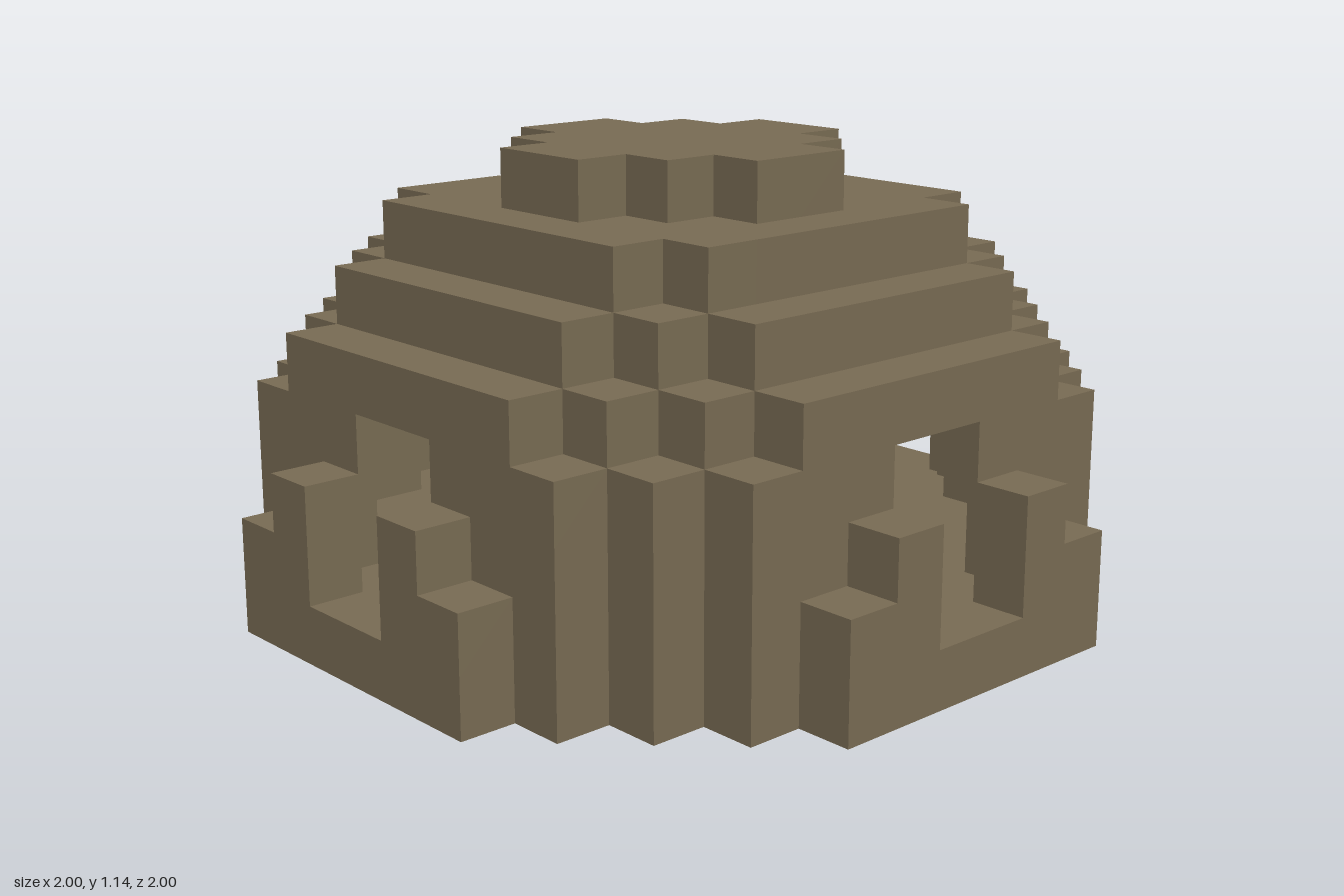
import * as THREE from 'three';

const N = 7;          // blocks per unit
const R = 7;          // outer radius in blocks
const CENTRE = 1;     // height of the sphere's centre in blocks

// Which part, if any, fills the block whose low corner is (i, j, k)
function partAt(i, j, k) {
  const x = i + 0.5, y = j + 0.5, z = k + 0.5;
  const d = x * x + (y - CENTRE) ** 2 + z * z;
  if (j < 0 || d > R * R) return null;
  // floor with a rectangular opening
  if (j === 0) return Math.abs(x) < 2 && z > -2 && z < 1 ? null : 'floor';
  // low benches beside the opening
  if (j === 1 && Math.abs(x) > 1 && Math.abs(x) < 2 && z > -3 && z < 0) return 'bench';
  // hollow inside
  if (d < (R - 1) ** 2) return null;
  // openings on all four sides
  if (j < 4 && (Math.abs(x) < 1 || Math.abs(z) < 1)) return null;
  return 'domeWall';
}

// Collect only the exposed faces of one part's blocks
function blockGeometry(part) {
  const pos = [], nor = [];
  for (let i = -R; i < R; i++) for (let j = 0; j <= R; j++) for (let k = -R; k < R; k++) {
    if (partAt(i, j, k) !== part) continue;
    for (let axis = 0; axis < 3; axis++) for (const s of [-1, 1]) {
      const n = [0, 0, 0];
      n[axis] = s;
      if (partAt(i + n[0], j + n[1], k + n[2])) continue;
      const u = (axis + 1) % 3, v = (axis + 2) % 3;
      const corner = (a, b) => {
        const p = [i, j, k];
        p[axis] += s > 0 ? 1 : 0;
        p[u] += a;
        p[v] += b;
        return p.map(c => c / N);
      };
      const q = [corner(0, 0), corner(1, 0), corner(1, 1), corner(0, 1)];
      if (s < 0) q.reverse();
      for (const c of [0, 1, 2, 0, 2, 3]) {
        pos.push(...q[c]);
        nor.push(...n);
      }
    }
  }
  const g = new THREE.BufferGeometry();
  g.setAttribute('position', new THREE.Float32BufferAttribute(pos, 3));
  g.setAttribute('normal', new THREE.Float32BufferAttribute(nor, 3));
  return g;
}

export function createModel() {
  const group = new THREE.Group();
  group.name = 'blockDome';
  const earth = new THREE.MeshStandardMaterial({ color: 0x786b53 });
  earth.name = 'earthBrown';
  for (const part of ['floor', 'domeWall', 'bench']) {
    const mesh = new THREE.Mesh(blockGeometry(part), earth);
    mesh.name = part;
    group.add(mesh);
  }
  return group;
}
